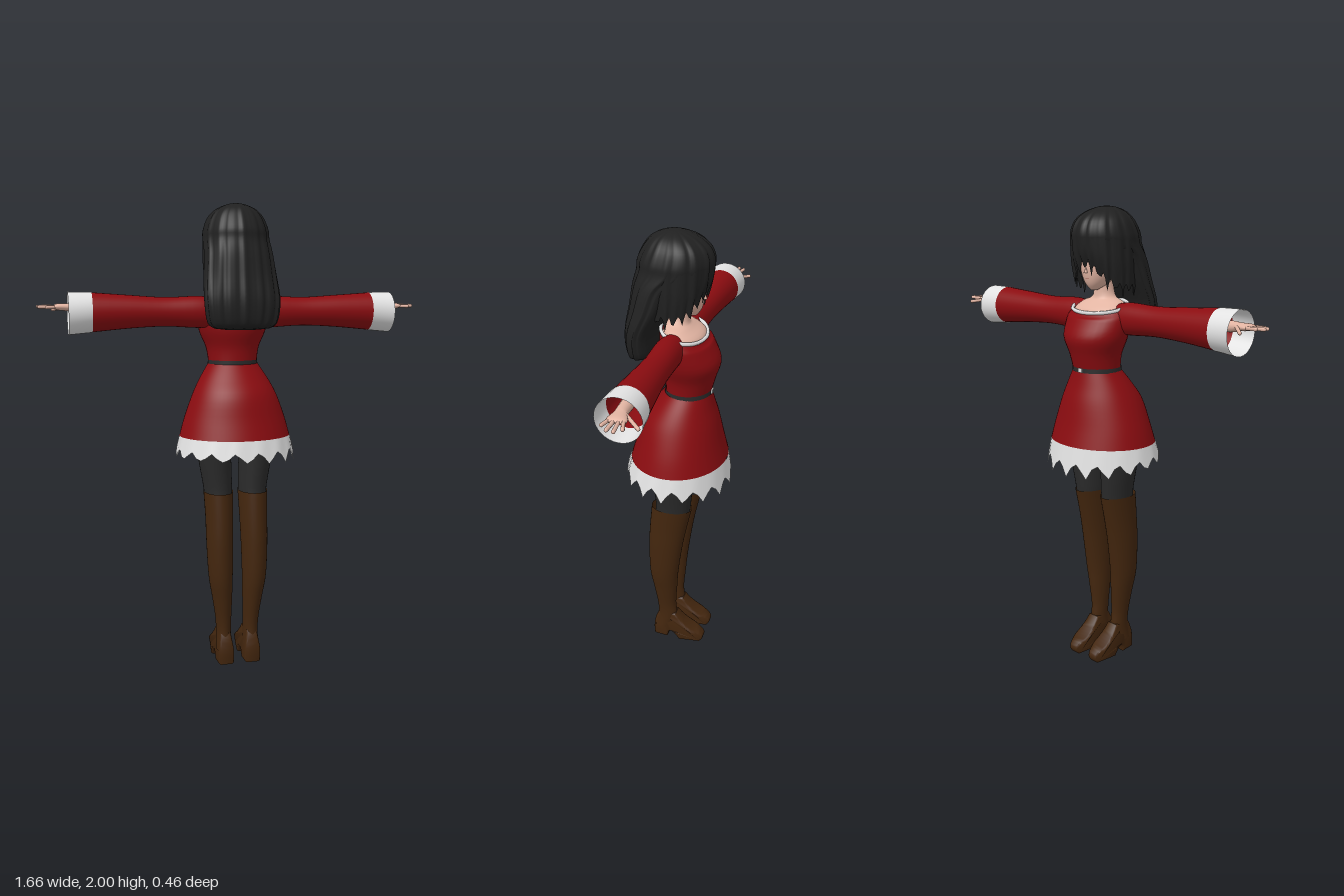
import * as THREE from 'three';
import { toCreasedNormals } from 'three/addons/utils/BufferGeometryUtils.js';

const mat = (name, color, side = THREE.DoubleSide) => {
  const m = new THREE.MeshStandardMaterial({ color, side });
  m.name = name;
  return m;
};

// Smoothly subdivides a list of cross-sections
function smooth(list, steps) {
  const out = [];
  for (let i = 0; i < list.length - 1; i++) {
    const a = list[Math.max(i - 1, 0)], b = list[i], c = list[i + 1], d = list[Math.min(i + 2, list.length - 1)];
    for (let k = 0; k < steps; k++) {
      const t = k / steps;
      out.push(b.map((v, n) => v + 0.5 * t * (c[n] - a[n] + t * (2 * a[n] - 5 * v + 4 * c[n] - d[n] + t * (3 * (v - c[n]) + d[n] - a[n])))));
    }
  }
  out.push(list[list.length - 1]);
  return out;
}

// Skins elliptical sections [position, centreA, centreB, radiusA, radiusB].
// Axis y: A = x, B = z.  Axis x: A = y, B = z.
function loft(sections, { axis = 'y', seg = 32, steps = 4, warp } = {}) {
  const rows = smooth(sections, steps), pos = [], idx = [];
  rows.forEach(([p, ca, cb, ra, rb], i) => {
    for (let j = 0; j < seg; j++) {
      const t = j / seg * Math.PI * 2;
      const a = ca + Math.max(ra, 0.0005) * Math.cos(t), s = Math.max(rb, 0.0005) * Math.sin(t);
      const v = axis === 'y' ? new THREE.Vector3(a, p, cb + s) : new THREE.Vector3(p, a, cb - s);
      if (warp) warp(v, j, t, i);
      pos.push(v.x, v.y, v.z);
      if (i < rows.length - 1) {
        const k = i * seg + j, n = i * seg + (j + 1) % seg;
        idx.push(k, k + seg, n, n, k + seg, n + seg);
      }
    }
  });
  const g = new THREE.BufferGeometry();
  g.setAttribute('position', new THREE.Float32BufferAttribute(pos, 3));
  g.setIndex(idx);
  g.computeVertexNormals();
  return g;
}

// Mirrored copy across x with corner order restored
function mirror(geo) {
  const g = geo.index ? geo.toNonIndexed() : geo.clone();
  g.scale(-1, 1, 1);
  for (const key of Object.keys(g.attributes)) {
    const { array, itemSize: n } = g.attributes[key];
    for (let o = 0; o < array.length; o += 3 * n)
      for (let k = 0; k < n; k++) [array[o + n + k], array[o + 2 * n + k]] = [array[o + 2 * n + k], array[o + n + k]];
  }
  return g;
}

export function createModel() {
  const model = new THREE.Group();
  model.name = 'figure';
  const red = mat('red cloth', 0x8a0c10), white = mat('white trim', 0xe2e2e2), hair = mat('black hair', 0x202020);
  const skin = mat('skin', 0xe2b4a2), brown = mat('brown leather', 0x43260e), black = mat('dark stocking', 0x2a2a2a);
  const lip = mat('lip', 0xa8645c);
  const add = (name, geo, m) => {
    const mesh = new THREE.Mesh(geo, m);
    mesh.name = name;
    model.add(mesh);
    return mesh;
  };
  const pair = (name, geo, m) => {
    add(name, geo, m);
    add(name + 'Mirrored', mirror(geo), m);
  };

  // Dress bodice with a neckline dipping at the front
  const tilt = v => { v.y += 0.25 * v.z * THREE.MathUtils.smoothstep(v.y, 1.54, 1.6); };
  add('bodice', loft([
    [1.33, 0, -0.045, 0.105, 0.095], [1.4, 0, -0.053, 0.116, 0.106], [1.47, 0, -0.053, 0.145, 0.124],
    [1.54, 0, -0.037, 0.155, 0.108], [1.575, 0, -0.03, 0.15, 0.1], [1.6, 0, -0.025, 0.135, 0.09]], { warp: tilt }), red);
  const rim = Array.from({ length: 40 }, (_, i) => {
    const t = i / 40 * Math.PI * 2;
    const v = new THREE.Vector3(0.135 * Math.cos(t), 1.602, -0.025 + 0.09 * Math.sin(t));
    tilt(v);
    return v;
  });
  add('necklineTrim', new THREE.TubeGeometry(new THREE.CatmullRomCurve3(rim, true), 80, 0.008, 6, true), white);
  add('chestAndNeck', loft([
    [1.52, 0, -0.03, 0.13, 0.09], [1.58, 0, -0.025, 0.128, 0.085], [1.615, 0, -0.005, 0.1, 0.058],
    [1.64, 0, 0, 0.048, 0.045], [1.72, 0, -0.005, 0.038, 0.04]]), skin);

  // Skirt, belt and zigzag hem
  add('skirt', loft([
    [1.02, 0, -0.008, 0.242, 0.208], [1.1, 0, -0.01, 0.22, 0.186], [1.2, 0, -0.013, 0.183, 0.162],
    [1.27, 0, -0.027, 0.147, 0.128], [1.335, 0, -0.045, 0.105, 0.095]], { seg: 64 }), red);
  const teeth = [1, 0.5, 0, 0.4];
  add('hemTrim', loft([[0.97, 0, -0.005, 0.256, 0.224], [1.022, 0, -0.008, 0.243, 0.209]], {
    seg: 64, steps: 1, warp: (v, j, t, i) => {
      if (i) return;
      const d = teeth[j % 4] * (0.045 + 0.015 * Math.cos(j * 1.7));
      v.y -= d + 0.018 * Math.max(0, -Math.sin(t));
      v.x *= 1 + d * 0.5;
      v.z *= 1 + d * 0.5;
    } }), white);
  add('belt', loft([[1.327, 0, -0.045, 0.109, 0.1], [1.346, 0, -0.045, 0.108, 0.099]], { steps: 1 }), black);
  add('buckle', new THREE.BoxGeometry(0.022, 0.018, 0.006).translate(0, 1.337, -0.146), white);

  // Sleeves, cuffs, forearms
  pair('sleeve', loft([
    [0.09, 1.55, -0.008, 0.06, 0.055], [0.16, 1.552, -0.005, 0.067, 0.058], [0.3, 1.553, -0.007, 0.061, 0.058],
    [0.45, 1.554, -0.008, 0.069, 0.067], [0.61, 1.552, -0.01, 0.082, 0.08]], { axis: 'x' }), red);
  pair('cuff', loft([[0.605, 1.552, -0.01, 0.083, 0.081], [0.702, 1.548, -0.01, 0.088, 0.09]], { axis: 'x', steps: 1 }), white);
  pair('handPalm', loft([
    [0.48, 1.565, -0.01, 0.03, 0.03], [0.66, 1.57, -0.015, 0.022, 0.024], [0.7, 1.573, -0.02, 0.016, 0.028],
    [0.745, 1.575, -0.023, 0.013, 0.038], [0.765, 1.575, -0.022, 0.003, 0.028]], { axis: 'x', seg: 20 }), skin);

  // Fingers: root x, root z, tip x, tip z, tip y
  [[0.75, -0.05, 0.805, -0.068, 1.578], [0.755, -0.034, 0.825, -0.042, 1.576], [0.755, -0.016, 0.82, -0.014, 1.575],
    [0.745, 0.002, 0.79, 0.016, 1.573], [0.7, -0.04, 0.763, -0.108, 1.563]].forEach(([x, z, tx, tz, ty], n) => {
    const a = new THREE.Vector3(x, 1.575, z), d = new THREE.Vector3(tx, ty, tz).sub(a), len = d.length();
    const g = new THREE.CapsuleGeometry(0.0075, len - 0.008, 4, 8);
    g.applyQuaternion(new THREE.Quaternion().setFromUnitVectors(new THREE.Vector3(0, 1, 0), d.clone().normalize()));
    g.translate(a.x + d.x / 2, a.y + d.y / 2, a.z + d.z / 2);
    pair(n === 4 ? 'thumb' : 'finger' + (n + 1), g, skin);
  });

  // Head and small facial features, facing -z
  add('head', loft([
    [1.664, 0, -0.06, 0.012, 0.016], [1.69, 0, -0.043, 0.045, 0.052], [1.73, 0, -0.03, 0.071, 0.076],
    [1.79, 0, -0.02, 0.088, 0.09], [1.85, 0, -0.01, 0.09, 0.1], [1.92, 0, 0, 0.05, 0.05]]), skin);
  add('nose', new THREE.ConeGeometry(0.009, 0.026, 8).translate(0, 1.748, -0.109), skin);
  add('mouth', new THREE.SphereGeometry(1, 12, 6).scale(0.015, 0.004, 0.004).translate(0, 1.714, -0.099), lip);
  pair('eye', new THREE.SphereGeometry(1, 12, 8).scale(0.017, 0.011, 0.004).rotateY(0.35).translate(0.037, 1.775, -0.1), black);

  // Hair: long back mass with dome, and a jagged fringe around the face
  const flute = (v, j, t) => {
    const k = 1 + 0.018 * Math.cos(t * 16) + 0.01 * Math.cos(t * 27 + 1);
    v.x *= k;
    v.z = 0.03 + (v.z - 0.03) * k;
  };
  add('hair', loft([
    [1.485, 0, 0.135, 0.11, 0.035], [1.51, 0, 0.138, 0.145, 0.062], [1.6, 0, 0.138, 0.158, 0.07],
    [1.7, 0, 0.1, 0.152, 0.092], [1.79, 0, 0.068, 0.143, 0.11], [1.85, 0, 0.018, 0.138, 0.146],
    [1.89, 0, 0.008, 0.135, 0.152], [1.94, 0, 0.004, 0.116, 0.13], [1.975, 0, 0.01, 0.082, 0.092],
    [1.995, 0, 0.015, 0.036, 0.04], [2, 0, 0.015, 0, 0]], { seg: 96, warp: flute }), hair);
  add('hairUnderside', new THREE.SphereGeometry(1, 24, 8).scale(0.11, 0.01, 0.035).translate(0, 1.489, 0.135), hair);
  add('fringe', loft([
    [1.7, 0, 0.015, 0.128, 0.13], [1.78, 0, 0.01, 0.137, 0.145], [1.88, 0, 0.008, 0.136, 0.152]], {
    seg: 96, warp: (v, j, t) => {
      const front = Math.max(0, -Math.sin(t)) ** 3, f = (1.88 - v.y) / 0.18;
      const tooth = teeth[j % 4] * (0.04 + 0.018 * Math.cos(j * 2.3));
      v.y = 1.88 - f * (0.19 - 0.095 * front + tooth);
      flute(v, j, t);
    } }), hair);

  // Hips and legs
  add('hips', loft([[0.99, 0, 0, 0.02, 0.03], [1.03, 0, 0, 0.15, 0.1], [1.12, 0, -0.005, 0.155, 0.11], [1.3, 0, -0.04, 0.1, 0.085]]), black);
  pair('stocking', loft([
    [0.74, 0.077, 0.005, 0.058, 0.078], [0.8, 0.079, 0, 0.063, 0.08],
    [0.95, 0.0925, -0.002, 0.073, 0.092], [1.08, 0.09, 0, 0.075, 0.095]]), black);
  pair('bootShaft', loft([
    [0.06, 0.062, 0.05, 0.036, 0.044], [0.13, 0.062, 0.036, 0.033, 0.046], [0.2, 0.063, 0.04, 0.035, 0.045],
    [0.3, 0.069, 0.044, 0.044, 0.056], [0.4, 0.076, 0.047, 0.053, 0.067], [0.55, 0.078, 0.038, 0.058, 0.078],
    [0.66, 0.077, 0.025, 0.06, 0.085], [0.775, 0.077, 0.007, 0.064, 0.092]]), brown);

  // Boot foot with block heel, drawn in side profile and tapered in plan
  const s = new THREE.Shape();
  s.moveTo(-0.086, 0.01);
  s.lineTo(-0.038, 0.01);
  s.quadraticCurveTo(-0.03, 0.05, -0.01, 0.05);
  s.quadraticCurveTo(0.015, 0.045, 0.035, 0.01);
  s.lineTo(0.125, 0.01);
  s.quadraticCurveTo(0.15, 0.035, 0.112, 0.05);
  s.quadraticCurveTo(0.055, 0.07, 0.005, 0.135);
  s.lineTo(-0.065, 0.135);
  s.quadraticCurveTo(-0.095, 0.09, -0.086, 0.01);
  const foot = new THREE.ExtrudeGeometry(s, { depth: 0.06, bevelThickness: 0.014, bevelSize: 0.01, bevelSegments: 3, curveSegments: 8 });
  foot.translate(0, 0, -0.03).rotateY(Math.PI / 2);
  const p = foot.attributes.position;
  for (let i = 0; i < p.count; i++) {
    const z = p.getZ(i), y = p.getY(i);
    const toe = 1 - 0.45 * THREE.MathUtils.smoothstep(-z, 0.08, 0.15);
    const heel = 1 - 0.2 * THREE.MathUtils.smoothstep(z, -0.02, 0.08);
    const top = 1 - 0.3 * THREE.MathUtils.smoothstep(y, 0.05, 0.14);
    p.setX(i, 0.06 + p.getX(i) * toe * heel * top);
  }
  pair('bootFoot', toCreasedNormals(foot, 0.8), brown);

  return model;
}
